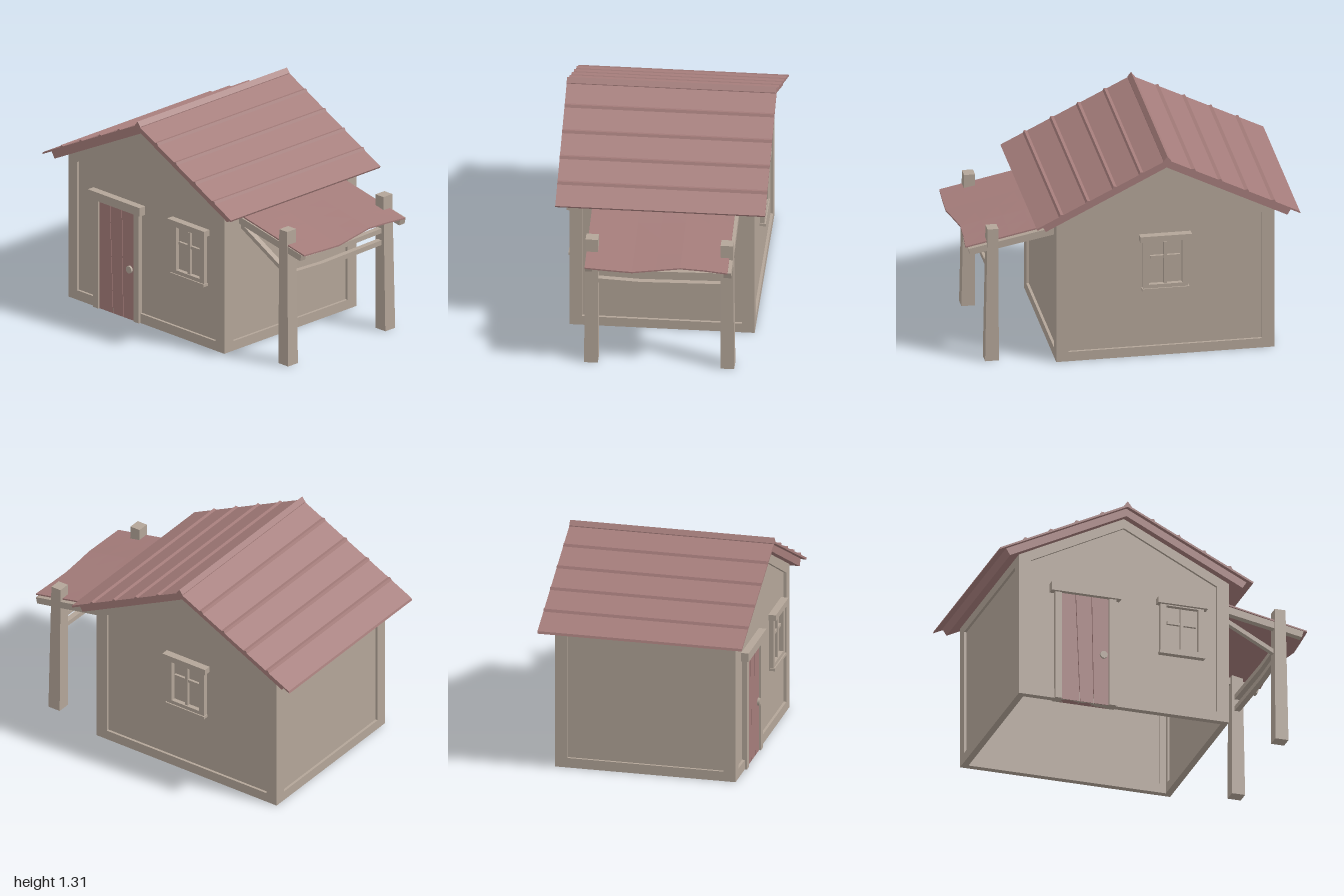
import * as THREE from 'three';

export function createModel() {
  const model = new THREE.Group();
  model.name = 'cottage';
  const plaster = new THREE.MeshStandardMaterial({ color: 0xb3a598 });
  plaster.name = 'warm grey';
  const red = new THREE.MeshStandardMaterial({ color: 0xa47c7a });
  red.name = 'dusty red';

  const add = (name, geometry, material = plaster, parent = model) => {
    const mesh = new THREE.Mesh(geometry, material);
    mesh.name = name;
    parent.add(mesh);
    return mesh;
  };
  // Box given by its minimum and maximum corners
  const box = (name, [x0, y0, z0], [x1, y1, z1], material, parent) => {
    const g = new THREE.BoxGeometry(x1 - x0, y1 - y0, z1 - z0);
    g.translate((x0 + x1) / 2, (y0 + y1) / 2, (z0 + z1) / 2);
    return add(name, g, material, parent);
  };
  // Outline in x and y, extruded from z0 to z1, with an optional hole
  const slab = (points, z0, z1, hole) => {
    const shape = new THREE.Shape(points.map(p => new THREE.Vector2(...p)));
    if (hole) shape.holes.push(new THREE.Path(hole.map(p => new THREE.Vector2(...p))));
    const g = new THREE.ExtrudeGeometry(shape, { depth: z1 - z0, bevelEnabled: false });
    return g.translate(0, 0, z0);
  };
  const rect = (a, b, c, d) => [[a, b], [c, b], [c, d], [a, d]];
  const RIDGE = -0.2, SLOPE = 0.494;

  // Gable walls: raised border around a recessed panel
  const gable = [[-0.855, 0], [0.455, 0], [0.455, 0.91], [RIDGE, 1.235], [-0.855, 0.91]];
  const gablePanel = [[-0.78, 0.06], [0.38, 0.06], [0.38, 0.875], [RIDGE, 1.17], [-0.78, 0.875]];
  for (const [name, s] of [['front', 1], ['back', -1]]) {
    const span = (a, b) => (s > 0 ? [a, b] : [-b, -a]);
    add(name + 'WallFrame', slab(gable, ...span(0.51, 0.55), gablePanel));
    add(name + 'WallPanel', slab(gablePanel, ...span(0.522, 0.534)));
  }

  // Side walls
  for (const [name, s] of [['left', 1], ['right', -1]]) {
    const wall = new THREE.Group();
    wall.name = name + 'Wall';
    const panel = rect(-0.475, 0.06, 0.475, 0.85);
    add('sideFrame', slab(rect(-0.51, 0, 0.51, 0.91), -0.04, 0, panel), plaster, wall);
    add('sidePanel', slab(panel, -0.028, -0.016), plaster, wall);
    wall.rotation.y = s * Math.PI / 2;
    wall.position.x = RIDGE + s * 0.655;
    model.add(wall);
  }

  // Roof: thick underlay and a thin wider sheet
  add('roofUnderlay', slab([[-0.925, 0.868], [RIDGE, 1.23], [0.525, 0.868], [0.55, 0.909],
    [RIDGE, 1.28], [-0.95, 0.909]], -0.595, 0.595), red);
  add('roofSheet', slab([[-1, 0.884], [RIDGE, 1.278], [0.58, 0.892], [0.585, 0.903],
    [RIDGE, 1.291], [-0.995, 0.898]], -0.623, 0.623), red);

  // Raised seams running along the roof
  for (const s of [-1, 1]) {
    for (const d of [0.155, 0.315, 0.475, 0.635]) {
      const at = (u, lift) => [RIDGE + s * u, 1.291 - SLOPE * u + lift];
      const pts = [at(d - 0.015, -0.003), at(d + 0.008, 0.012), at(d + 0.018, -0.003)];
      if (s > 0) pts.reverse();
      add('roofSeam', slab(pts, -0.623, 0.623), red);
    }
  }
  add('ridgeCap', slab([[-0.222, 1.277], [-0.178, 1.277], [-0.178, 1.285],
    [RIDGE, 1.313], [-0.222, 1.285]], -0.623, 0.623), red);

  // Door: three uneven planks, posts, lintel and knob
  const seams = [[-0.59, -0.59], [-0.475, -0.502], [-0.39, -0.402], [-0.295, -0.295]];
  for (let i = 0; i < 3; i++) {
    const [b0, t0] = seams[i], [b1, t1] = seams[i + 1], gap = 0.002;
    add('doorPlank', slab([[b0 + gap, 0], [b1 - gap, 0], [t1 - gap, 0.69], [t0 + gap, 0.69]],
      0.5, 0.553), red);
  }
  box('doorPost', [-0.632, 0, 0.5], [-0.59, 0.69, 0.564]);
  box('doorPost', [-0.295, 0, 0.5], [-0.25, 0.69, 0.564]);
  box('doorLintel', [-0.66, 0.69, 0.505], [-0.225, 0.744, 0.581]);
  for (const [r, z] of [[0.012, 0.556], [0.023, 0.562]]) {
    const g = new THREE.CylinderGeometry(r, r, 0.014, 12);
    add('doorKnob', g.rotateX(Math.PI / 2).translate(-0.33, 0.32, z));
  }

  // Windows, centred on x = 0 and facing +z
  const makeWindow = (name, x, y, turn) => {
    const w = new THREE.Group();
    w.name = name;
    add('windowFrame', slab(rect(-0.135, 0.4, 0.135, 0.71), 0.525, 0.562,
      rect(-0.1, 0.425, 0.1, 0.7)), plaster, w);
    box('windowHeader', [-0.155, 0.707, 0.525], [0.155, 0.744, 0.58], plaster, w);
    box('windowSill', [-0.141, 0.385, 0.525], [0.141, 0.402, 0.57], plaster, w);
    box('verticalBar', [-0.01, 0.42, 0.53], [0.01, 0.69, 0.553], plaster, w);
    box('horizontalBar', [-0.09, 0.587, 0.53], [0.09, 0.605, 0.55], plaster, w);
    w.position.set(x, y, 0);
    w.rotation.y = turn;
    model.add(w);
  };
  makeWindow('frontWindow', 0.16, 0, 0);
  makeWindow('backWindow', RIDGE, 0.038, Math.PI);

  // Porch posts, slightly wider at the foot
  for (const [z, out] of [[0.382, 1], [-0.42, -1]]) {
    const g = new THREE.BoxGeometry(0.066, 0.848, 0.074).translate(0.818, 0.424, z);
    const p = g.attributes.position;
    for (let i = 0; i < p.count; i++) {
      if (p.getY(i) > 0.1) continue;
      if (p.getX(i) > 0.82) p.setX(i, 0.867);
      if ((p.getZ(i) - z) * out > 0) p.setZ(i, p.getZ(i) + out * 0.008);
    }
    g.computeVertexNormals();
    add('porchPost', g);
  }

  // Rafters and the single diagonal brace
  const rafter = [[0.44, 0.787], [0.955, 0.69], [0.965, 0.73], [0.44, 0.833]];
  add('porchRafter', slab(rafter, 0.372, 0.414));
  add('porchRafter', slab(rafter, -0.456, -0.41));
  add('porchBrace', slab([[0.44, 0.752], [0.79, 0.566], [0.79, 0.594], [0.44, 0.782]], 0.362, 0.396));

  // Sagging rails between the posts
  for (const y of [0.615, 0.54]) {
    const g = slab([[-0.39, y], [0.1, y - 0.011], [0.35, y + 0.002],
      [0.35, y + 0.03], [0.1, y + 0.019], [-0.39, y + 0.03]], 0, 0.034);
    add('porchRail', g.rotateY(-Math.PI / 2).translate(0.835, 0, 0));
  }

  // Awning: thin sheet with an uneven outer edge
  const awning = new THREE.BoxGeometry(1, 0.009, 1, 4, 1, 6).toNonIndexed();
  const edge = [0.98, 0.968, 0.962, 0.98, 1.0, 0.995, 0.988];
  const wave = [0, 0.004, 0.006, 0, -0.005, -0.003, 0];
  const p = awning.attributes.position;
  for (let i = 0; i < p.count; i++) {
    const u = p.getX(i) + 0.5, v = p.getZ(i) + 0.5, k = Math.round(v * 6);
    const x = 0.45 + u * (edge[k] - 0.45);
    p.setXYZ(i, x, 0.843 - 0.205 * (x - 0.45) + wave[k] * u + p.getY(i), -0.435 + 0.848 * v);
  }
  awning.computeVertexNormals();
  add('awning', awning, red);

  return model;
}
